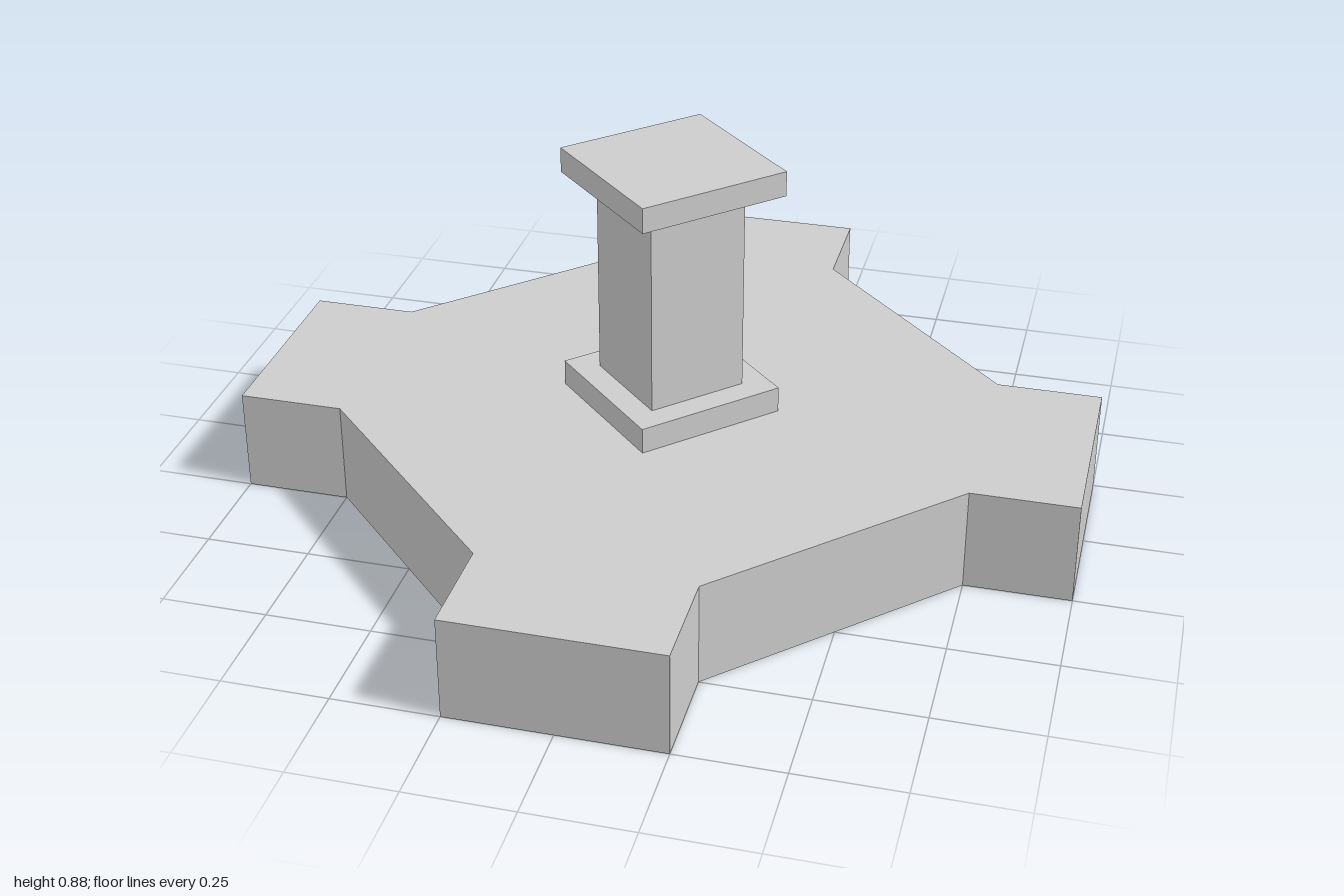
import * as THREE from 'three';

export function createModel() {
  const group = new THREE.Group();
  const grey = new THREE.MeshStandardMaterial({ color: 0xcccccc });
  grey.name = 'light grey';

  const add = (name, geometry, x, y, z) => {
    const mesh = new THREE.Mesh(geometry, grey);
    mesh.name = name;
    mesh.position.set(x, y, z);
    group.add(mesh);
    return mesh;
  };

  // Cross-shaped base: one arm outline turned four times, joined by diagonal walls
  const arm = [[0.75, -0.25], [1, -0.25], [1, 0.25], [0.75, 0.25]];
  const points = [];
  for (let i = 0; i < 4; i++) {
    for (const [x, y] of arm) {
      points.push(new THREE.Vector2(x, y).rotateAround(new THREE.Vector2(), i * Math.PI / 2));
    }
  }
  const base = new THREE.ExtrudeGeometry(new THREE.Shape(points), { depth: 0.25, bevelEnabled: false });
  base.rotateX(-Math.PI / 2);
  add('base', base, 0, 0, 0);

  // Square blocks turned 45 degrees, sized by half diagonal
  const addBlock = (name, halfDiagonal, bottom, top, x, z) => {
    const side = halfDiagonal * Math.SQRT2;
    const block = new THREE.BoxGeometry(side, top - bottom, side);
    add(name, block, x, (bottom + top) / 2, z).rotation.y = Math.PI / 4;
  };
  addBlock('plinth', 0.263, 0.25, 0.313, -0.002, 0.003);
  addBlock('column', 0.175, 0.313, 0.815, -0.002, 0.004);
  addBlock('cap', 0.265, 0.815, 0.876, 0.003, 0.005);

  return group;
}
